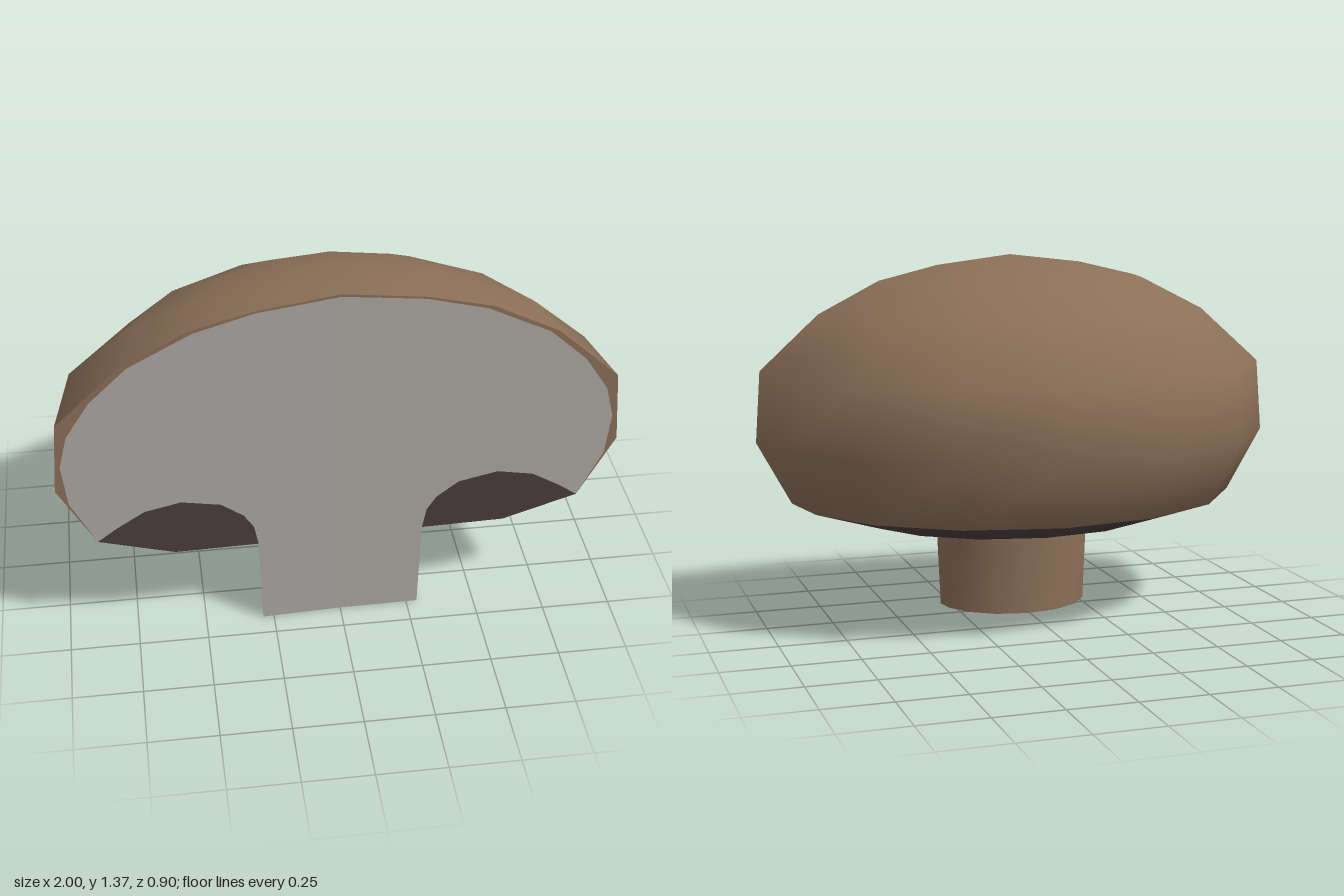
import * as THREE from 'three';
import { mergeVertices } from 'three/addons/utils/BufferGeometryUtils.js';

const material = (name, color) => {
  const m = new THREE.MeshStandardMaterial({ color });
  m.name = name;
  return m;
};

// Half-turn angles in degrees; both ends lie on the cut plane
const ANGLES = [0, 19, 41, 64, 88, 112, 136, 161, 180];
const DEPTH = 0.855;

// The cut is folded slightly at the middle
const cutZ = (x) => 0.4 + (x < 0 ? -0.045 * x : -0.01 * x);

// Half of an elliptical turned form; profile rows are [radius, y], top to bottom
function halfTurn(profile, groups = []) {
  const positions = [], index = [], n = ANGLES.length;
  for (const [r, y] of profile) {
    ANGLES.forEach((deg, j) => {
      const a = THREE.MathUtils.degToRad(deg);
      const x = r * Math.cos(a);
      const onCut = j === 0 || j === n - 1;
      positions.push(x, y, onCut ? cutZ(x) : 0.4 - DEPTH * r * Math.sin(a));
    });
  }
  for (let i = 0; i < profile.length - 1; i++) {
    for (let j = 0; j < n - 1; j++) {
      const p = i * n + j;
      index.push(p, p + n, p + 1, p + 1, p + n, p + n + 1);
    }
  }
  let geo = new THREE.BufferGeometry();
  geo.setAttribute('position', new THREE.Float32BufferAttribute(positions, 3));
  geo.setIndex(index);
  geo = mergeVertices(geo);
  geo.computeVertexNormals();
  const rowSize = (n - 1) * 6;
  for (const [start, count, mat] of groups) geo.addGroup(start * rowSize, count * rowSize, mat);
  return geo;
}

// One side of a flat area on the cut
function cutPatch(points, side) {
  const shape = new THREE.Shape(points.map(([x, y]) => new THREE.Vector2(x * side, y)));
  const geo = new THREE.ShapeGeometry(shape);
  const pos = geo.attributes.position;
  for (let i = 0; i < pos.count; i++) {
    pos.setZ(i, cutZ(pos.getX(i)));
  }
  geo.computeVertexNormals();
  return geo;
}

export function createModel() {
  const group = new THREE.Group();
  const skin = material('brown skin', 0x8c7058);
  const flesh = material('pale flesh', 0xaea9a4);
  const gill = material('dark gills', 0x4a3d3f);

  const add = (name, geo, mat) => {
    const mesh = new THREE.Mesh(geo, mat);
    mesh.name = name;
    group.add(mesh);
  };

  // Cap with dark underside
  const dome = [
    [0, 1.365], [0.29, 1.33], [0.52, 1.275], [0.755, 1.155],
    [0.98, 0.95], [1, 0.68], [0.87, 0.44],
  ];
  const under = [[0.6, 0.355], [0.3, 0.35]];
  add('cap', halfTurn([...dome, ...under], [[0, 6, 0], [6, 2, 1]]), [skin, gill]);

  // Stem and its cut base
  add('stem', halfTurn([[0.305, 0.36], [0.29, 0]]), skin);
  add('stemBase', halfTurn([[0.29, 0], [0, 0]]), flesh);

  // Sliced face: pale flesh, gill pockets and a thin rim of skin
  const inner = [
    [0, 1.355], [0.29, 1.322], [0.5, 1.267], [0.725, 1.155], [0.86, 1.03],
    [0.945, 0.9], [0.975, 0.78], [0.958, 0.62], [0.87, 0.44],
  ];
  const pocket = [
    [0.8, 0.49], [0.7, 0.55], [0.57, 0.575], [0.43, 0.545], [0.35, 0.485], [0.315, 0.43],
  ];
  for (const [label, side] of [['left', 1], ['right', -1]]) {
    add(label + 'Flesh', cutPatch([...inner, ...pocket, [0.3, 0.35], [0.29, 0], [0, 0]], side), flesh);
    add(label + 'Gills', cutPatch([[0.87, 0.44], ...pocket, [0.3, 0.35], [0.6, 0.355]], side), gill);
    add(label + 'Rim', cutPatch([...dome, ...inner.slice(0, -1).reverse()], side), skin);
  }
  return group;
}
